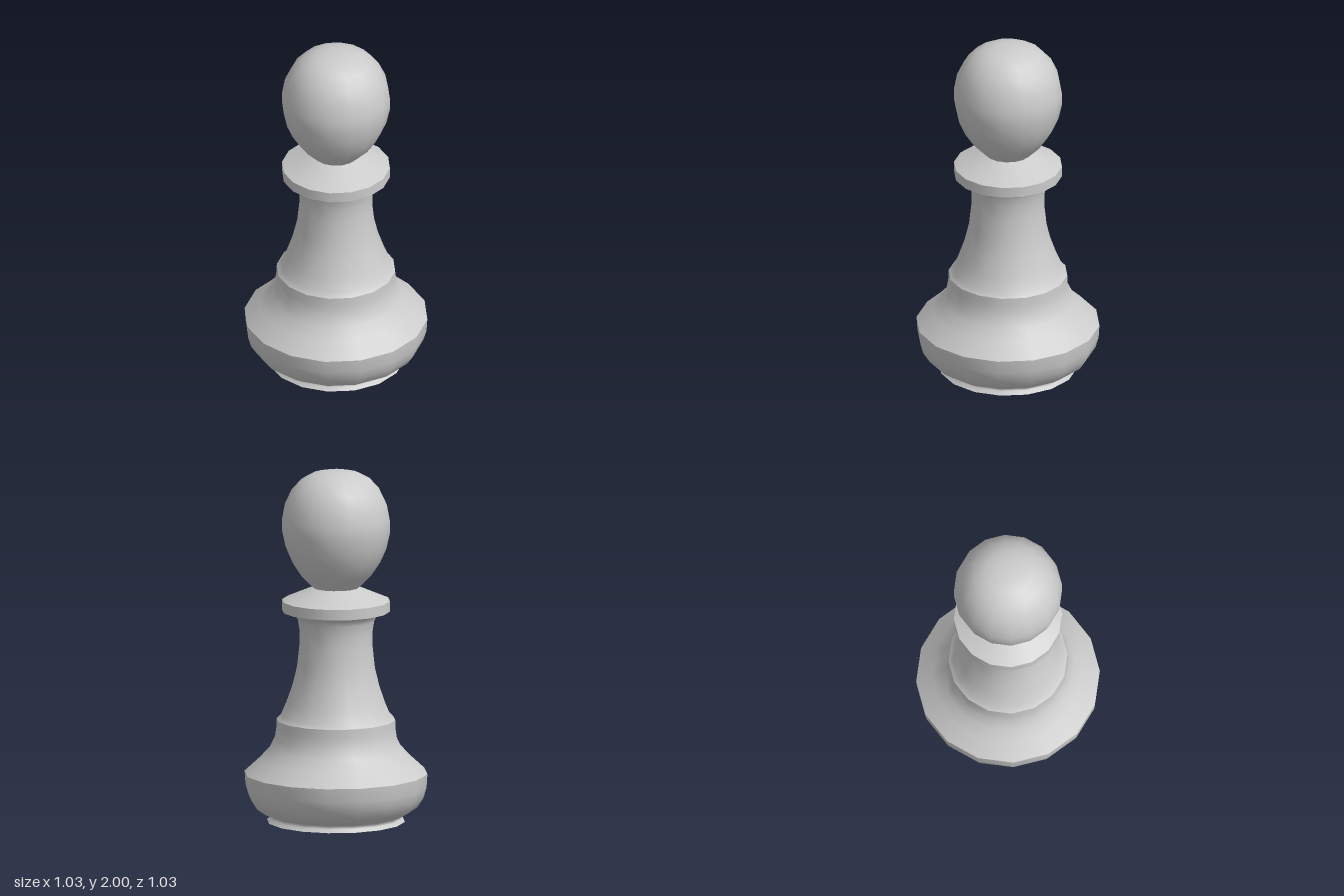
import * as THREE from 'three';

const SIDES = 16;
const material = new THREE.MeshStandardMaterial({ color: 0xcccccc });

// Smooth ring turned from [radius, y] points, listed bottom to top on outer faces
function turned(name, points) {
  const profile = points.map(([r, y]) => new THREE.Vector2(r, y));
  const mesh = new THREE.Mesh(new THREE.LatheGeometry(profile, SIDES), material);
  mesh.name = name;
  return mesh;
}

export function createModel() {
  const group = new THREE.Group();
  group.name = 'pawn';

  // Separate sections keep a sharp edge where they meet
  group.add(
    // hollow underside
    turned('recessCeiling', [[0, 0.16], [0.37, 0.16]]),
    turned('recessWall', [[0.37, 0.16], [0.37, 0]]),
    turned('footRim', [[0.37, 0], [0.39, 0]]),
    // base
    turned('baseBulge', [[0.39, 0], [0.372, 0.018], [0.365, 0.035], [0.41, 0.05], [0.46, 0.085],
      [0.495, 0.14], [0.512, 0.2], [0.517, 0.275]]),
    turned('baseShoulder', [[0.517, 0.275], [0.43, 0.355], [0.375, 0.415], [0.345, 0.475],
      [0.337, 0.53], [0.335, 0.58]]),
    // body
    turned('stem', [[0.335, 0.58], [0.31, 0.605], [0.28, 0.675], [0.245, 0.775], [0.22, 0.88],
      [0.207, 1], [0.206, 1.08], [0.216, 1.145], [0.23, 1.175], [0.255, 1.193], [0.305, 1.2]]),
    // collar
    turned('collarBand', [[0.305, 1.2], [0.305, 1.26]]),
    turned('collarTop', [[0.305, 1.26], [0.13, 1.335]]),
    // head
    turned('head', [[0.13, 1.335], [0.2, 1.405], [0.25, 1.48], [0.285, 1.56], [0.305, 1.65],
      [0.305, 1.72], [0.288, 1.81], [0.25, 1.89], [0.195, 1.95], [0.13, 1.985], [0.06, 2], [0, 2]])
  );
  return group;
}
